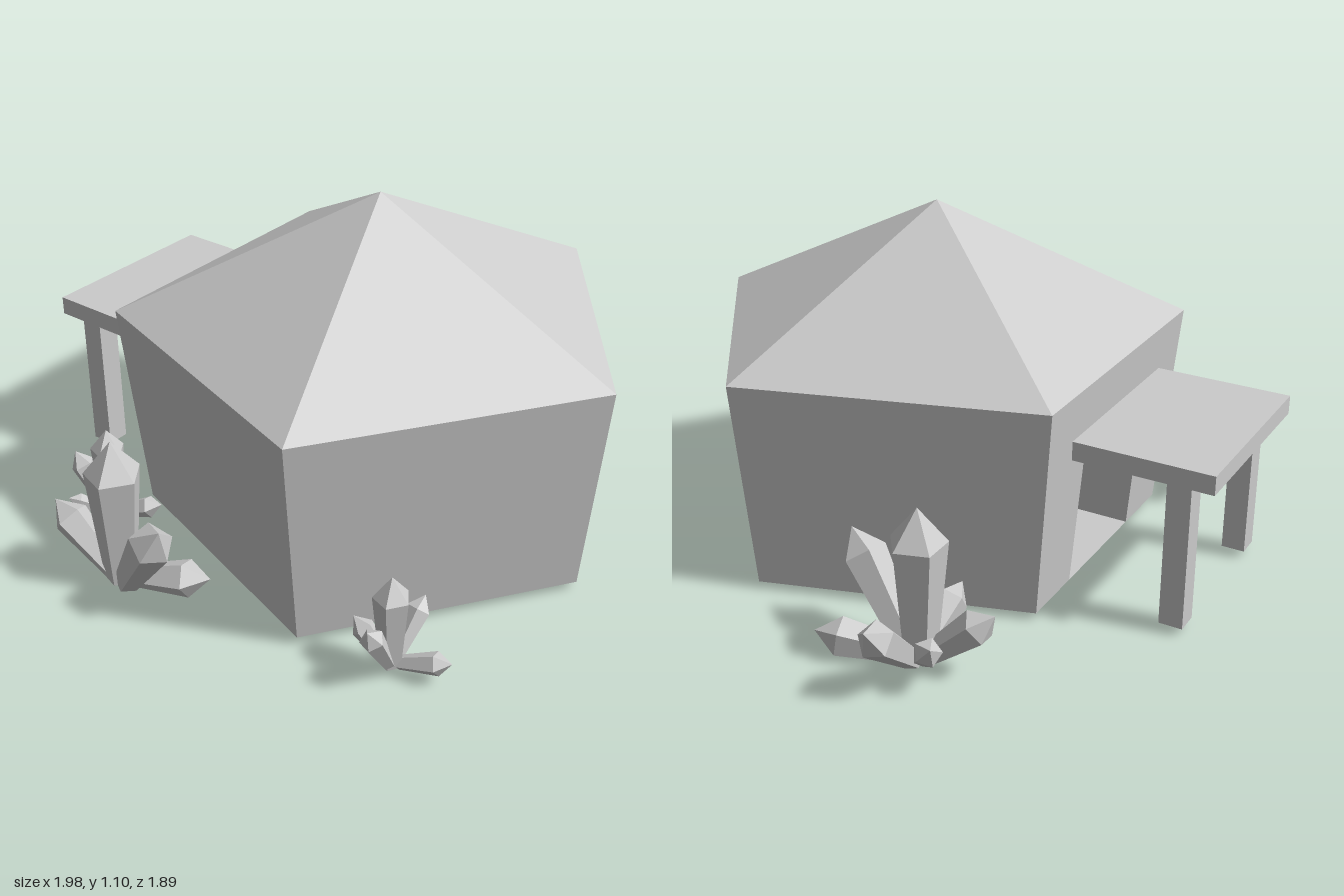
import * as THREE from 'three';

const material = new THREE.MeshStandardMaterial({ color: 0xcccccc, flatShading: true, side: THREE.DoubleSide });

// House dimensions: a five-sided hut, slightly wider at the eaves
const CX = -0.07, CZ = 0.133, FLOOR = 0.04, EAVES = 0.72, APEX = 1.12;
const R_TOP = 0.81, R_BOTTOM = 0.74;
const DOOR_HALF = 0.213, DOOR_TOP = 0.51, ALCOVE_BACK = -0.05;

function part(parent, name, geometry, x = 0, y = 0, z = 0) {
  const mesh = new THREE.Mesh(geometry, material);
  mesh.name = name;
  mesh.position.set(x, y, z);
  parent.add(mesh);
  return mesh;
}

// Depth of the leaning back wall at a given height
function backWallZ(y) {
  const t = (y - FLOOR) / (EAVES - FLOOR);
  return CZ - Math.cos(Math.PI / 5) * THREE.MathUtils.lerp(R_BOTTOM, R_TOP, t);
}

function createHouse() {
  const house = new THREE.Group();
  house.name = 'house';

  // Four plain walls, leaving the back side free
  const step = (Math.PI * 2) / 5;
  part(house, 'walls',
    new THREE.CylinderGeometry(R_TOP, R_BOTTOM, EAVES - FLOOR, 4, 1, true, 3 * step, 4 * step),
    CX, (FLOOR + EAVES) / 2, CZ);

  // Roof
  part(house, 'roof', new THREE.ConeGeometry(R_TOP, APEX - EAVES, 5, 1, true), CX, (EAVES + APEX) / 2, CZ);

  // Back wall with the doorway, leaned to follow the other walls
  const s = Math.sin(Math.PI / 5), top = R_TOP * s, bottom = R_BOTTOM * s;
  const outline = [
    [-bottom, FLOOR], [-DOOR_HALF, FLOOR], [-DOOR_HALF, DOOR_TOP], [DOOR_HALF, DOOR_TOP],
    [DOOR_HALF, FLOOR], [bottom, FLOOR], [top, EAVES], [-top, EAVES],
  ].map(([x, y]) => new THREE.Vector2(x, y));
  const wall = new THREE.ShapeGeometry(new THREE.Shape(outline));
  const wp = wall.attributes.position;
  for (let i = 0; i < wp.count; i++) wp.setZ(i, backWallZ(wp.getY(i)));
  wall.computeVertexNormals();
  part(house, 'backWall', wall, CX);

  // Entrance alcove: a box without its outer face, trimmed to the leaning wall
  const alcove = new THREE.BoxGeometry(DOOR_HALF * 2, DOOR_TOP - FLOOR, 1);
  alcove.setIndex(Array.from(alcove.index.array).slice(0, 30));
  alcove.translate(0, (DOOR_TOP + FLOOR) / 2, 0);
  const ap = alcove.attributes.position;
  for (let i = 0; i < ap.count; i++) ap.setZ(i, ap.getZ(i) < 0 ? backWallZ(ap.getY(i)) : ALCOVE_BACK);
  alcove.computeVertexNormals();
  part(house, 'entranceAlcove', alcove, CX);
  return house;
}

function createPorch() {
  const porch = new THREE.Group();
  porch.name = 'porch';
  part(porch, 'porchRoof', new THREE.BoxGeometry(0.63, 0.06, 0.44), CX, 0.54, -0.73);
  for (const side of [-1, 1]) {
    part(porch, 'porchPost', new THREE.BoxGeometry(0.075, 0.47, 0.075), CX + side * 0.26, 0.275, -0.838);
  }
  return porch;
}

// A five-sided crystal widening to its shoulder, from base to tip
function addCrystal(parent, base, tip, radius) {
  const axis = tip.clone().sub(base), length = axis.length();
  const shoulder = length - radius * 1.25;
  const profile = [[0, 0], [radius * 0.6, 0], [radius, shoulder], [0, length]]
    .map(([x, y]) => new THREE.Vector2(x, y));
  const crystal = part(parent, 'crystal', new THREE.LatheGeometry(profile, 5), base.x, base.y, base.z);
  crystal.quaternion.setFromUnitVectors(new THREE.Vector3(0, 1, 0), axis.normalize());
}

// Each cluster: foot position, then crystals as [tip x, tip y, tip z, radius]
const CLUSTERS = [
  { name: 'leftCrystals', foot: [0.73, -0.28], crystals: [
    [0.73, 0.52, -0.28, 0.088], [0.655, 0.35, -0.01, 0.068], [0.83, 0.09, 0.01, 0.06],
    [0.99, 0.26, -0.27, 0.057], [0.88, 0.19, -0.41, 0.042], [0.70, 0.23, -0.51, 0.055],
    [0.50, 0.17, -0.29, 0.05] ] },
  { name: 'rightCrystals', foot: [-0.87, -0.24], crystals: [
    [-0.87, 0.52, -0.24, 0.088], [-0.945, 0.35, 0.01, 0.068], [-0.77, 0.09, 0.03, 0.06],
    [-0.71, 0.19, -0.385, 0.05], [-0.89, 0.23, -0.485, 0.058] ] },
  { name: 'backCrystals', foot: [-0.65, -0.5], crystals: [
    [-0.65, 0.35, -0.5, 0.055], [-0.68, 0.24, -0.62, 0.04], [-0.52, 0.13, -0.54, 0.035],
    [-0.59, 0.1, -0.34, 0.036], [-0.81, 0.19, -0.375, 0.035], [-0.76, 0.12, -0.58, 0.026] ] },
  { name: 'frontCrystals', foot: [-0.7, 0.64], crystals: [
    [-0.7, 0.34, 0.64, 0.055], [-0.65, 0.09, 0.81, 0.036], [-0.55, 0.19, 0.65, 0.036],
    [-0.82, 0.23, 0.645, 0.036], [-0.58, 0.12, 0.585, 0.026], [-0.715, 0.16, 0.52, 0.035] ] },
];

function createCluster({ name, foot: [fx, fz], crystals }) {
  const cluster = new THREE.Group();
  cluster.name = name;
  const main = new THREE.Vector3(fx, 0, fz);
  for (const [x, y, z, radius] of crystals) {
    const tip = new THREE.Vector3(x, y, z);
    // Leaning crystals start a little out from the foot and higher when they lie flat
    const base = main.clone().lerp(tip, 0.12);
    base.y = y > 0.3 ? 0.04 : 0.05;
    addCrystal(cluster, base, tip, radius);
  }
  return cluster;
}

export function createModel() {
  const model = new THREE.Group();
  model.name = 'crystalHut';
  model.add(createHouse(), createPorch(), ...CLUSTERS.map(createCluster));
  return model;
}
